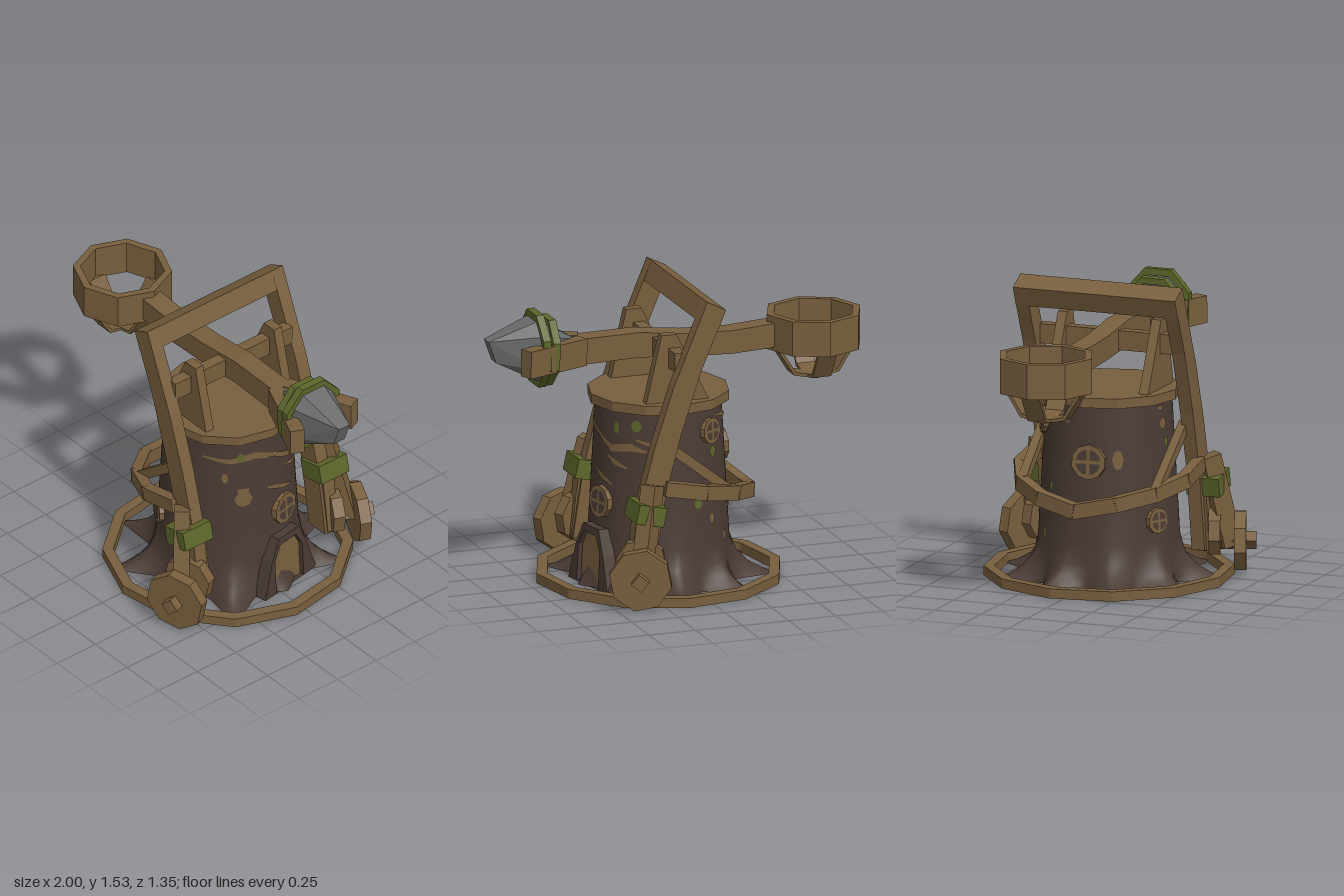
import * as THREE from 'three';
import { ConvexGeometry } from 'three/addons/geometries/ConvexGeometry.js';

const rad = THREE.MathUtils.degToRad;
const CX = 0.08; // trunk axis

export function createModel() {
  const model = new THREE.Group();
  model.name = 'treeStumpCatapult';
  const paint = (name, color, side = THREE.FrontSide) => {
    const m = new THREE.MeshStandardMaterial({ color, side });
    m.name = name;
    return m;
  };
  const wood = paint('wood', 0x785f3e);
  const bark = paint('bark', 0x4a3b34, THREE.DoubleSide);
  const moss = paint('moss', 0x5c662a);
  const stone = paint('stone', 0x6a6b6b);

  const add = (name, geo, mat, parent = model) => {
    const mesh = new THREE.Mesh(geo, mat);
    mesh.name = name;
    parent.add(mesh);
    return mesh;
  };
  const flat = (g) => {
    const f = g.index ? g.toNonIndexed() : g;
    f.computeVertexNormals();
    return f;
  };
  // Side outline in x,y given thickness along z
  const slab = (name, pts, depth, z, mat = wood, parent = model) => {
    const shape = new THREE.Shape(pts.map(([x, y]) => new THREE.Vector2(x, y)));
    const g = new THREE.ExtrudeGeometry(shape, { depth, bevelEnabled: false });
    return add(name, g.translate(0, 0, z - depth / 2), mat, parent);
  };
  // Straight timber between two points
  const beam = (name, a, b, w, h, mat = wood, extra = 0) => {
    const p = new THREE.Vector3(...a), q = new THREE.Vector3(...b);
    const m = add(name, new THREE.BoxGeometry(w, h, p.distanceTo(q) + extra), mat);
    m.position.copy(p).lerp(q, 0.5);
    m.lookAt(q);
    return m;
  };
  // Faceted hoop of rectangular section around y
  const hoop = (rIn, rOut, h, n, phase = 0) => flat(new THREE.LatheGeometry(
    [[rIn, -h / 2], [rOut, -h / 2], [rOut, h / 2], [rIn, h / 2], [rIn, -h / 2]]
      .map(([x, y]) => new THREE.Vector2(x, y)), n, rad(phase)));

  // Trunk: tapered wall flaring into nine pointed roots
  const radius = (y) => 0.36 - 0.043 * Math.max(0, (y - 0.15) / 0.78);
  const onTrunk = (deg, y, out = 0) => {
    const r = radius(y) + out;
    return [CX + r * Math.cos(rad(deg)), y, r * Math.sin(rad(deg))];
  };
  const rows = [[0, 0.21, 0.03], [0.03, 0.13, 0.025], [0.07, 0.07, 0.015], [0.13, 0.025, 0.005],
    [0.22, 0, 0], [0.45, 0, 0], [0.7, 0, 0], [0.94, 0, 0]];
  const seg = 90, tPos = [], tIdx = [];
  rows.forEach(([y, spike, flare], j) => {
    for (let i = 0; i < seg; i++) {
      const deg = i * 360 / seg;
      const phase = (((deg - 156) % 40) + 40) % 40;
      const tip = Math.pow(Math.abs(phase - 20) / 20, 1.6);
      const door = Math.cos(rad(deg + 4)) > 0.93 ? 0.25 : 1;
      tPos.push(...onTrunk(deg, y, flare + spike * tip * door));
      if (j < rows.length - 1) {
        const a = j * seg + i, b = j * seg + (i + 1) % seg;
        tIdx.push(a, a + seg, b, b, a + seg, b + seg);
      }
    }
  });
  const trunkGeo = new THREE.BufferGeometry();
  trunkGeo.setAttribute('position', new THREE.Float32BufferAttribute(tPos, 3));
  trunkGeo.setIndex(tIdx);
  trunkGeo.computeVertexNormals();
  add('trunk', trunkGeo, bark);
  add('topPlatform', flat(new THREE.CylinderGeometry(0.36, 0.36, 0.05, 12)), wood).position.set(CX, 0.955, 0);

  // Thin marks wrapped on the bark: points are [angle, height, half width]
  const mark = (name, pts, mat) => {
    const pos = [], idx = [];
    pts.forEach((p, k) => {
      const steps = k < pts.length - 1 ? 4 : 1;
      for (let s = 0; s < steps; s++) {
        const [a, y, w] = p.map((v, c) => (k < pts.length - 1 ? v + (pts[k + 1][c] - v) * s / 4 : v));
        const n = pos.length / 3;
        if (n) idx.push(n - 2, n - 1, n, n, n - 1, n + 1);
        pos.push(...onTrunk(a, y - w, 0.005), ...onTrunk(a, y + w, 0.005));
      }
    });
    const g = new THREE.BufferGeometry();
    g.setAttribute('position', new THREE.Float32BufferAttribute(pos, 3));
    g.setIndex(idx);
    g.computeVertexNormals();
    add(name, g, mat);
  };
  const spot = (a, y, w, h, mat) => mark('barkSpot',
    [[a - w, y, 0.001], [a - w * 0.6, y, h * 0.8], [a, y, h], [a + w * 0.6, y, h * 0.8], [a + w, y, 0.001]], mat);
  [
    [[-60, 0.73, 0.005], [-45, 0.75, 0.02], [-25, 0.73, 0.018], [-5, 0.79, 0.012], [15, 0.83, 0.02], [38, 0.81, 0.014], [62, 0.83, 0.005]],
    [[-28, 0.54, 0.004], [-15, 0.57, 0.016], [3, 0.61, 0.006]],
    [[-42, 0.64, 0.004], [-30, 0.66, 0.014], [-18, 0.69, 0.005]],
    [[195, 0.84, 0.004], [210, 0.86, 0.014], [230, 0.88, 0.005]],
    [[262, 0.7, 0.004], [280, 0.74, 0.016], [310, 0.79, 0.005]],
  ].forEach((s) => mark('barkStreak', s, wood));
  spot(26, 0.58, 8, 0.045, wood);
  mark('barkStreak', [[21, 0.63, 0.012], [31, 0.63, 0.012]], wood);
  [[102, 0.82, 5, 0.03], [105, 0.9, 4, 0.014], [150, 0.66, 5, 0.05], [42, 0.71, 3, 0.03], [205, 0.4, 4, 0.03],
    [240, 0.36, 3, 0.03], [222, 0.25, 3, 0.03], [285, 0.55, 4, 0.03]].forEach((s) => spot(...s, wood));
  [[-30, 0.84, 3, 0.03], [28, 0.83, 4, 0.022], [62, 0.43, 4, 0.02], [98, 0.72, 3, 0.025], [235, 0.7, 4, 0.03],
    [215, 0.5, 3, 0.025], [255, 0.45, 4, 0.025], [310, 0.86, 5, 0.03]].forEach((s) => spot(...s, moss));

  // Group facing outward from the trunk
  const outward = (name, deg, y) => {
    const g = new THREE.Group();
    g.name = name;
    g.position.set(...onTrunk(deg, y));
    g.rotation.set(-0.05, Math.PI / 2 - rad(deg), 0, 'YXZ');
    model.add(g);
    return g;
  };
  // Round windows with four panes
  [[-14, 0.44, 0.085], [115, 0.335, 0.066], [175, 0.65, 0.09], [238, 0.81, 0.068]].forEach(([deg, y, r]) => {
    const win = outward('roundWindow', deg, y);
    add('windowFrame', flat(new THREE.CylinderGeometry(r, r, 0.04, 10).rotateX(Math.PI / 2)), wood, win);
    for (let k = 0; k < 4; k++) {
      const pane = add('windowPane', new THREE.CircleGeometry(r * 0.6, 5, 0, Math.PI / 2), bark, win);
      const a = Math.PI / 4 + k * Math.PI / 2;
      pane.position.set(r * 0.13 * Math.cos(a), r * 0.13 * Math.sin(a), 0.023);
      pane.rotation.z = k * Math.PI / 2;
    }
  });
  // Door in a root arch
  const entry = outward('doorway', -10, 0.05);
  const arch = [[-0.105, -0.05], [0.105, -0.05], [0.105, 0.14], [0.06, 0.22], [-0.06, 0.22], [-0.105, 0.14]];
  const frame = new THREE.Shape([[-0.19, -0.05], [0.2, -0.05], [0.14, 0.13], [0.085, 0.26], [-0.07, 0.26], [-0.13, 0.14]]
    .map((p) => new THREE.Vector2(...p)));
  frame.holes.push(new THREE.Path(arch.map((p) => new THREE.Vector2(...p))));
  add('doorFrame', new THREE.ExtrudeGeometry(frame, { depth: 0.13, bevelEnabled: false }).translate(0, 0, -0.08), bark, entry);
  slab('door', arch, 0.05, 0, wood, entry);

  // Ground hoop
  add('groundHoop', hoop(0.575, 0.63, 0.05, 12, 84), wood).position.set(CX, 0.025, 0);

  // Bent branch round the back of the trunk, rising to the posts
  const branch = [];
  for (let k = 0; k <= 8; k++) {
    const a = 75 + k * 26.25, t = Math.abs(a - 180) / 105;
    branch.push([CX + 0.457 * Math.cos(rad(a)), 0.42 + 0.16 * t, 0.457 * Math.sin(rad(a))]);
  }
  for (let k = 0; k < 8; k++) beam('bentBranch', branch[k], branch[k + 1], 0.055, 0.075, wood, 0.02);

  // Gate frame, wheels and pivot stands, mirrored across z
  slab('gateCrossbeam', [[-0.12, 1.48], [-0.08, 1.38], [0.02, 1.43], [-0.02, 1.53]], 0.88, 0);
  for (const s of [1, -1]) {
    slab('gatePost', [[-0.12, 1.48], [0.01, 1.18], [0.12, 0.85], [0.2, 0.55], [0.27, 0.12], [0.4, 0.12],
      [0.34, 0.5], [0.26, 0.8], [0.16, 1.1], [-0.02, 1.53]], 0.07, 0.405 * s);
    beam('brace', [-0.2, 0.49, 0.36 * s], [0.18, 0.79, 0.37 * s], 0.045, 0.05);
    beam('forkLeg', [0.28, 0.61, 0.46 * s], [0.37, 0.14, 0.54 * s], 0.08, 0.1);
    beam('innerLeg', [0.3, 0.5, 0.42 * s], [0.35, 0.12, 0.42 * s], 0.07, 0.11);
    const band = add('mossBand', new THREE.BoxGeometry(0.15, 0.1, 0.18), moss);
    band.position.set(0.31, 0.47, 0.442 * s);
    band.rotation.z = 0.22;

    const wheel = new THREE.Group();
    wheel.name = 'wheel';
    wheel.position.set(0.39, 0.162, 0.585 * s);
    wheel.rotation.y = 0.38 * s;
    model.add(wheel);
    const disc = (name, r, d, x, y, z) => add(name,
      flat(new THREE.CylinderGeometry(r, r, d, 8).rotateX(Math.PI / 2).rotateZ(0.2)), wood, wheel).position.set(x, y, z * s);
    disc('wheelDisc', 0.16, 0.06, 0, 0, 0);
    disc('innerDisc', 0.13, 0.06, 0, 0.05, -0.13);
    const hub = add('axleHub', new THREE.BoxGeometry(0.065, 0.065, 0.22), wood, wheel);
    hub.position.z = -0.03 * s;
    hub.rotation.z = 0.65;

    slab('pivotStand', [[-0.09, 0.97], [0.25, 0.97], [0.165, 1.33], [0.085, 1.33]], 0.05, 0.255 * s);
    // Arm prongs gripping the weight
    beam('armProng', [0.5, 1.22, 0.035 * s], [0.855, 1.225, 0.185 * s], 0.075, 0.14);
    // Bowl end stays at the arm root
  }
  add('pivotAxle', new THREE.BoxGeometry(0.06, 0.1, 0.76), wood).position.set(0.1, 1.21, 0);

  // Throwing arm
  slab('throwingArm', [[-0.53, 1.14], [-0.3, 1.13], [-0.05, 1.14], [0.2, 1.16], [0.56, 1.15], [0.56, 1.285],
    [0.2, 1.29], [-0.05, 1.26], [-0.3, 1.25], [-0.53, 1.265]], 0.11, 0);

  // Bowl with crossed straps
  const bowl = new THREE.Group();
  bowl.name = 'bowl';
  bowl.position.set(-0.75, 1.21, 0);
  model.add(bowl);
  add('bowlRim', hoop(0.212, 0.25, 0.18, 8), wood, bowl);
  const strap = [[-0.215, -0.08], [-0.12, -0.23], [0, -0.255], [0.12, -0.23], [0.215, -0.08],
    [0.195, -0.08], [0.11, -0.215], [0, -0.238], [-0.11, -0.215], [-0.195, -0.08]];
  for (const turn of [0, Math.PI / 2]) slab('bowlStrap', strap, 0.1, 0, wood, bowl).rotation.y = turn;

  // Stone counterweight bound with moss rope
  const pts = [];
  for (const sy of [1, -1]) for (const sz of [1, -1]) {
    pts.push(new THREE.Vector3(0.53, 1.25 + 0.03 * sy, 0.02 * sz));
    pts.push(new THREE.Vector3(0.74, 1.25 + 0.16 * sy, 0.07 * sz));
    pts.push(new THREE.Vector3(0.74, 1.25 + 0.09 * sy, 0.13 * sz));
    pts.push(new THREE.Vector3(0.98 + 0.02 * sy, 1.257 + 0.056 * sy, 0.035 * sz));
  }
  add('stoneWeight', new ConvexGeometry(pts), stone);
  [[0.68, 1.235, 0.9, 0.06], [0.733, 1.25, 1, -0.03]].forEach(([x, y, k, tilt]) => {
    const rope = add('mossRope', hoop(0.15, 0.185, 0.04, 8, 22.5), moss);
    rope.position.set(x, y, 0);
    rope.rotation.z = Math.PI / 2 + tilt;
    rope.scale.set(1.1 * k, 1, k);
  });
  return model;
}
